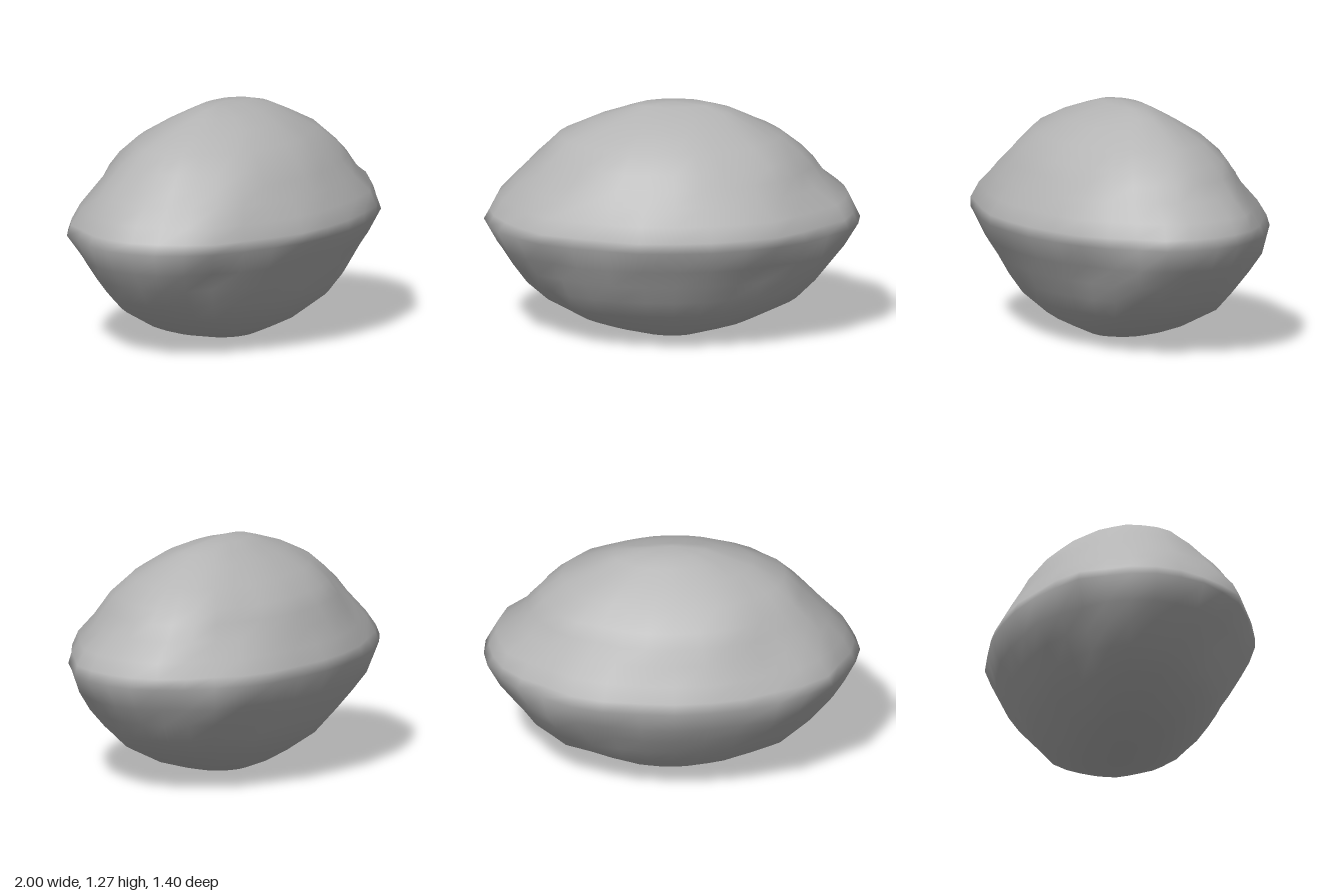
import * as THREE from 'three';
import { mergeVertices } from 'three/addons/utils/BufferGeometryUtils.js';

// Cross-sections from bottom to top: height, then reach along +x, -x, +z, -z
const RINGS = [
  [0, 0, 0, 0, 0],
  [0.018, 0.18, 0.19, 0.17, 0.15],
  [0.055, 0.32, 0.35, 0.25, 0.24],
  [0.1, 0.46, 0.49, 0.34, 0.31],
  [0.2, 0.67, 0.67, 0.45, 0.44],
  [0.3, 0.78, 0.78, 0.52, 0.52],
  [0.4, 0.86, 0.86, 0.57, 0.585],
  [0.5, 0.93, 0.93, 0.63, 0.65],
  [0.625, 1.0, 1.0, 0.7, 0.7],
  [0.68, 0.973, 0.97, 0.7, 0.68],
  [0.76, 0.935, 0.925, 0.66, 0.63],
  [0.85, 0.82, 0.84, 0.605, 0.575],
  [0.93, 0.765, 0.76, 0.55, 0.535],
  [1.0, 0.7, 0.69, 0.5, 0.485],
  [1.09, 0.59, 0.6, 0.41, 0.385],
  [1.17, 0.425, 0.43, 0.285, 0.26],
  [1.22, 0.32, 0.28, 0.17, 0.17],
  [1.25, 0.2, 0.18, 0.06, 0.11],
  [1.266, 0, 0, 0, 0],
];
const SIDES = 32;

// Soft lumps that fade out toward the four main directions
function lump(angle, y) {
  return 1 + 0.014 * Math.sin(2 * angle) * (Math.sin(7 * angle + 9 * y) + Math.sin(11 * angle - 14 * y + 1));
}

function createRockGeometry() {
  const positions = [];
  const index = [];
  RINGS.forEach(([y, right, left, front, back], i) => {
    for (let j = 0; j < SIDES; j++) {
      const angle = (j / SIDES) * Math.PI * 2;
      const c = Math.cos(angle);
      const s = Math.sin(angle);
      const k = lump(angle, y);
      positions.push(c * (c > 0 ? right : left) * k, y, s * (s > 0 ? front : back) * k);
      if (i === RINGS.length - 1) continue;
      const a = i * SIDES + j;
      const b = i * SIDES + ((j + 1) % SIDES);
      if (i > 0) index.push(a, a + SIDES, b);
      if (i < RINGS.length - 2) index.push(b, a + SIDES, b + SIDES);
    }
  });
  const geometry = new THREE.BufferGeometry();
  geometry.setAttribute('position', new THREE.Float32BufferAttribute(positions, 3));
  geometry.setIndex(index);
  // Weld the poles so the shading stays smooth across them
  const welded = mergeVertices(geometry);
  welded.computeVertexNormals();
  return welded;
}

export function createModel() {
  const group = new THREE.Group();
  group.name = 'asteroid';
  const stone = new THREE.MeshStandardMaterial({ color: 0xb4b4b4 });
  stone.name = 'grey stone';
  const rock = new THREE.Mesh(createRockGeometry(), stone);
  rock.name = 'rock';
  group.add(rock);
  return group;
}
